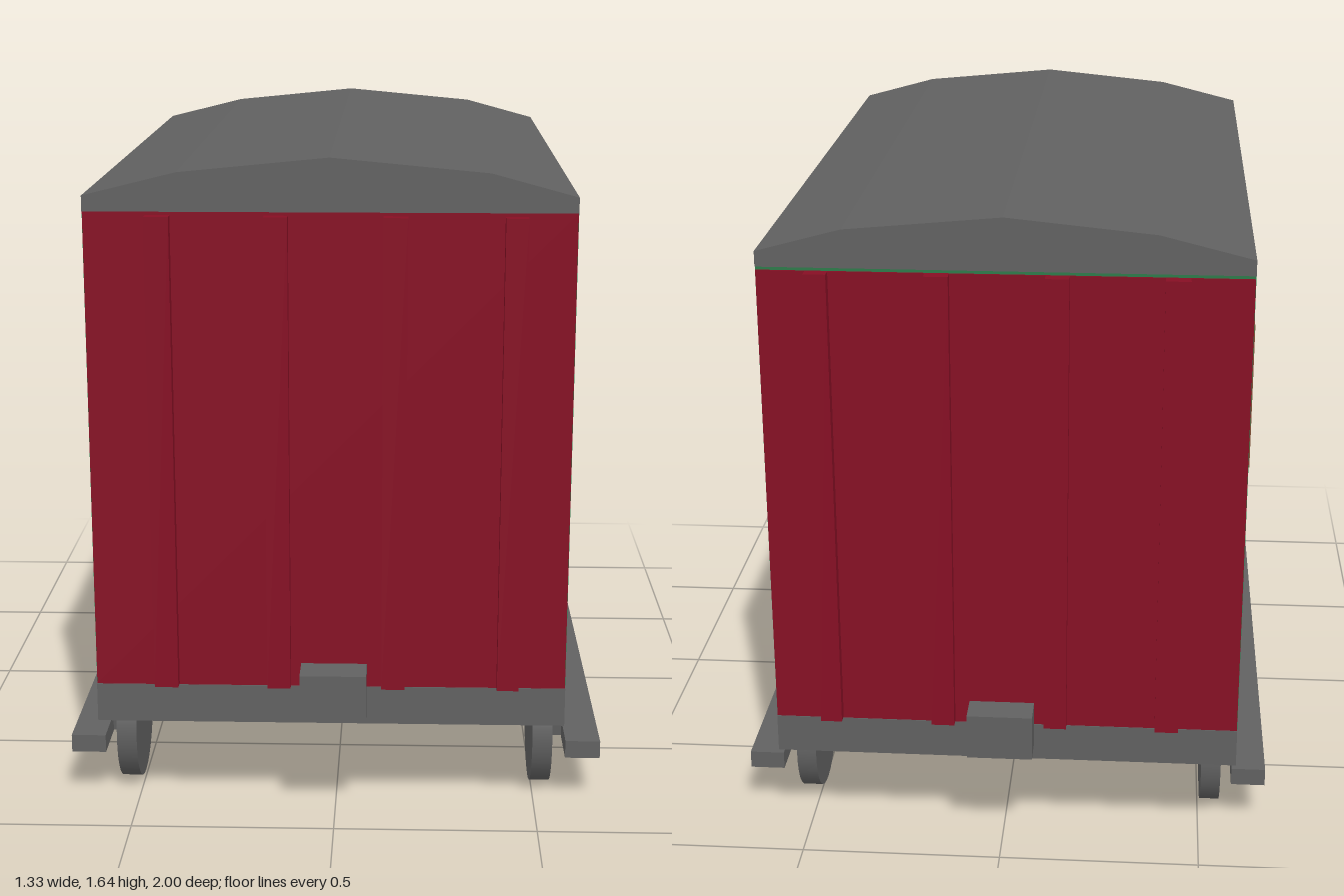
import * as THREE from 'three';

const mat = (name, color) => Object.assign(new THREE.MeshStandardMaterial({ color }), { name });

export function createModel() {
  const root = new THREE.Group();
  root.name = 'railwayCarriage';
  const grey = mat('chassisGrey', 0x616161);
  const green = mat('sideGreen', 0x2d7a4a);
  const red = mat('endRed', 0x860f24);
  const brown = mat('frameBrown', 0x805035);
  const black = mat('glassBlack', 0x0b0b0b);
  const pale = mat('panelPale', 0xbab7b0);

  const add = (name, geometry, material) => {
    const mesh = new THREE.Mesh(geometry, material);
    mesh.name = name;
    root.add(mesh);
    return mesh;
  };
  // Box given by its limits on each axis
  const box = (name, material, x0, x1, y0, y1, z0, z1) => {
    const g = new THREE.BoxGeometry(x1 - x0, y1 - y0, z1 - z0);
    g.translate((x0 + x1) / 2, (y0 + y1) / 2, (z0 + z1) / 2);
    return add(name, g, material);
  };

  const L = -0.587, R = 0.566, BACK = -0.922, FRONT = 0.915;

  // Floor and body
  box('floor', grey, L, R, 0.243, 0.34, BACK, FRONT);
  box('body', green, L, R, 0.34, 1.515, BACK + 0.004, FRONT - 0.004);
  box('frontPanel', red, L + 0.001, R - 0.001, 0.341, 1.513, FRONT - 0.005, FRONT);
  box('backPanel', red, L + 0.001, R - 0.001, 0.341, 1.505, BACK, BACK + 0.005);

  // Shallow faceted roof
  const profile = [[L, 1.513], [R, 1.513], [R, 1.55], [0.363, 1.605], [-0.01, 1.64], [-0.365, 1.605], [L, 1.55]];
  const roofShape = new THREE.Shape(profile.map(([x, y]) => new THREE.Vector2(x, y)));
  const roof = new THREE.ExtrudeGeometry(roofShape, { depth: FRONT - BACK, bevelEnabled: false });
  roof.translate(0, 0, BACK);
  add('roof', roof, grey);

  // Vertical ribs and couplings on both ends
  for (const [x0, x1] of [[-0.44, -0.382], [-0.163, -0.107], [0.115, 0.172], [0.397, 0.45]]) {
    box('frontRib', red, x0, x1, 0.345, 1.505, FRONT, 0.945);
    box('backRib', red, x0, x1, 0.345, 1.505, -0.95, BACK);
  }
  box('frontCoupling', grey, -0.082, 0.079, 0.28, 0.4, FRONT, 1);
  box('backCoupling', grey, -0.082, 0.079, 0.285, 0.4, -1, BACK);

  // Thin plate lying on one side wall, standing out by t
  const plate = (name, material, side, t, z0, z1, y0, y1) => {
    const wall = side > 0 ? R : L;
    box(name, material, Math.min(wall, wall + side * t), Math.max(wall, wall + side * t), y0, y1, z0, z1);
  };

  // Windows: frame limits then glass limits along z, and a small lift
  const windows = [
    [0.665, 0.855, 0.70, 0.82, 0],
    [0.27, 0.62, 0.295, 0.585, 0],
    [-0.01, 0.225, 0.03, 0.178, 0.008],
    [-0.28, -0.04, -0.23, -0.085, 0.008],
    [-0.675, -0.315, -0.642, -0.342, 0],
    [-0.9, -0.7, -0.857, -0.737, 0],
  ];
  // Pale panels: z limits, y limits
  const panels = [
    [0.342, 0.535, 0.92, 0.985],
    [-0.6, -0.402, 0.92, 0.985],
    [-0.09, 0.107, 0.728, 0.862],
    [0.38, 0.503, 0.61, 0.743],
    [-0.555, -0.433, 0.61, 0.743],
  ];
  for (const side of [1, -1]) {
    for (const [f0, f1, g0, g1, lift] of windows) {
      plate('windowFrame', brown, side, 0.003, f0, f1, 1.037 + lift, 1.388 + lift);
      plate('windowGlass', black, side, 0.005, g0, g1, 1.08, 1.353 + lift * 0.6);
    }
    for (const p of panels) plate('palePanel', pale, side, 0.003, ...p);
    const shift = side > 0 ? 0 : -0.055;
    plate('lowPanel', pale, side, 0.003, -0.036 + shift, 0.08 + shift, 0.406, 0.497);
  }

  // Running gear: wheels, tapered axle guards and footboards
  const guardShape = new THREE.Shape([[-0.043, 0.125], [0.043, 0.125], [0.067, 0.283], [-0.067, 0.283]]
    .map(([x, y]) => new THREE.Vector2(x, y)));
  for (const side of [1, -1]) {
    for (const z of [0.668, -0.637]) {
      const wheel = new THREE.CylinderGeometry(0.165, 0.165, 0.05, 32);
      wheel.rotateZ(Math.PI / 2);
      wheel.translate(side > 0 ? 0.52 : -0.53, 0.165, z);
      add('wheel', wheel, grey);
      const guard = new THREE.ExtrudeGeometry(guardShape, { depth: 0.04, bevelEnabled: false });
      guard.rotateY(Math.PI / 2);
      guard.translate(side > 0 ? 0.538 : -0.585, 0, z - 0.007);
      add('axleGuard', guard, grey);
    }
  }
  box('leftFootboard', grey, 0.577, 0.664, 0.125, 0.17, -0.815, 0.842);
  box('rightFootboard', grey, -0.668, -0.582, 0.125, 0.17, -0.815, 0.842);

  return root;
}
